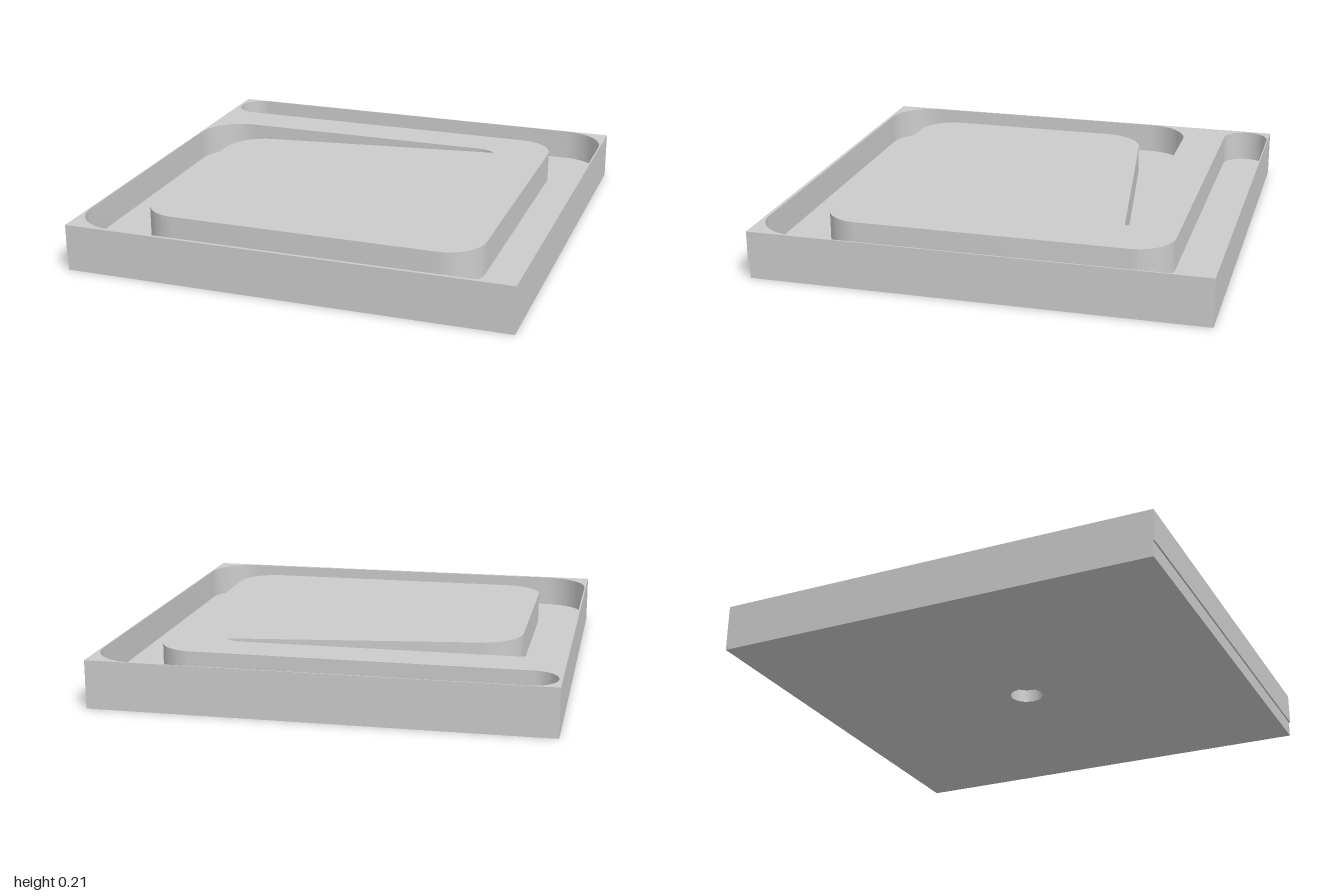
import * as THREE from 'three';
import { toCreasedNormals } from 'three/addons/utils/BufferGeometryUtils.js';

const PI = Math.PI;
const W = 0.992;        // half width
const TOP = 0.212;      // top of the block
const FLOOR = 0.07;     // channel floor
const BORE = 0.06;      // depth of the hole underneath

// Rectangle outline in plan: shape x = x, shape y = z
function rect(z0, z1) {
  return new THREE.Shape([
    new THREE.Vector2(-W, z0), new THREE.Vector2(W, z0),
    new THREE.Vector2(W, z1), new THREE.Vector2(-W, z1),
  ]);
}

// Extrude a plan outline between two heights
function slab(shape, y0, y1) {
  const g = new THREE.ExtrudeGeometry(shape, { depth: y1 - y0, bevelEnabled: false, curveSegments: 16 });
  g.rotateX(PI / 2);
  g.translate(0, y1, 0);
  return toCreasedNormals(g, 0.5);
}

// Spiral channel: outer wall one way round, tapered tip, inner wall back
function channelPath() {
  const p = new THREE.Path();
  p.moveTo(-0.87, -0.995);
  p.absarc(0.785, -0.795, 0.2, -PI / 2, 0, false);
  p.absarc(0.785, 0.785, 0.2, 0, PI / 2, false);
  p.absarc(-0.785, 0.785, 0.2, PI / 2, PI, false);
  p.absarc(-0.785, -0.38, 0.2, PI, 1.5 * PI, false);
  p.lineTo(0.44, -0.58);
  p.quadraticCurveTo(0.485, -0.575, 0.51, -0.54);
  p.absarc(-0.57, -0.19, 0.2, -1.71, -PI, true);
  p.absarc(-0.6, 0.595, 0.17, PI, PI / 2, true);
  p.absarc(0.6, 0.595, 0.17, PI / 2, 0, true);
  p.absarc(0.6, -0.61, 0.17, 0, -PI / 2, true);
  p.absarc(-0.87, -0.8875, 0.1075, PI / 2, 1.5 * PI, false);
  return p;
}

export function createModel() {
  const group = new THREE.Group();
  const material = new THREE.MeshStandardMaterial({ color: 0xcccccc });
  const add = (name, geometry) => {
    const mesh = new THREE.Mesh(geometry, material);
    mesh.name = name;
    group.add(mesh);
  };

  // Base with a blind round hole in the underside
  const base = rect(-1, 0.993);
  const bore = new THREE.Path();
  bore.absarc(0, 0, 0.075, 0, 2 * PI, false);
  base.holes.push(bore);
  add('base', slab(base, 0, BORE));

  // Channel floor, closing the hole from above
  add('channelFloor', slab(rect(-1, 0.993), BORE, FLOOR));

  // Upper block with the spiral channel cut through it
  const block = rect(-1, 1);
  block.holes.push(channelPath());
  add('channelBlock', slab(block, FLOOR, TOP));

  return group;
}
